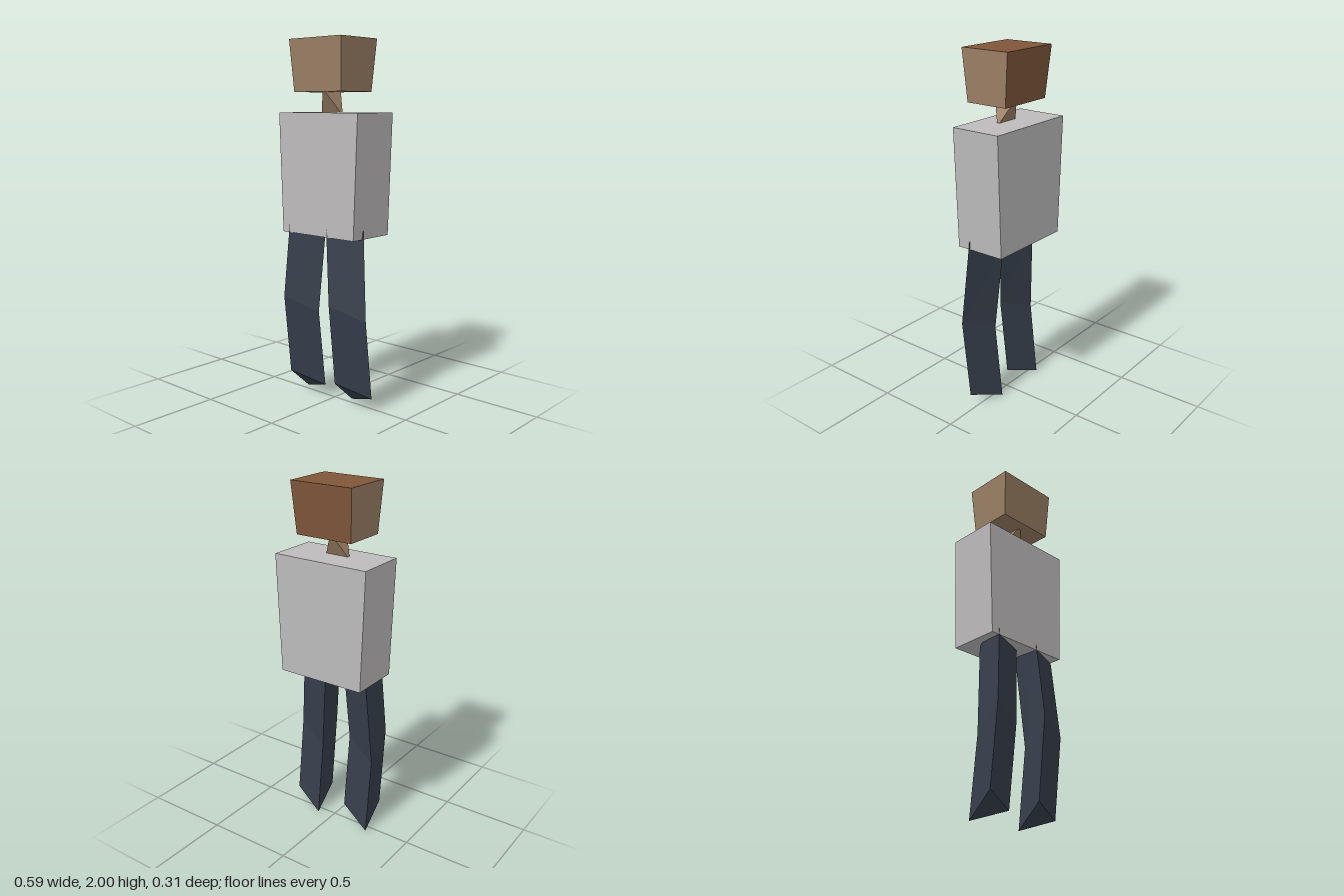
import * as THREE from 'three';

const mat = (name, color) => {
  const m = new THREE.MeshStandardMaterial({ color });
  m.name = name;
  return m;
};

// Box whose bottom and top are different rectangles: [x0, x1, z0, z1]
function taperedBox(y0, y1, bottom, top) {
  const geo = new THREE.BoxGeometry(1, 1, 1);
  const p = geo.attributes.position;
  for (let i = 0; i < p.count; i++) {
    const up = p.getY(i) > 0;
    const [x0, x1, z0, z1] = up ? top : bottom;
    p.setXYZ(i, p.getX(i) > 0 ? x1 : x0, up ? y1 : y0, p.getZ(i) > 0 ? z1 : z0);
  }
  geo.computeVertexNormals();
  return geo;
}

// Flat-faced loft through three-cornered rings listed from bottom to top
function triangularLoft(rings) {
  const v = [];
  const tri = (a, b, c) => v.push(...a, ...b, ...c);
  for (let r = 0; r < rings.length - 1; r++) {
    const lo = rings[r], hi = rings[r + 1];
    for (let i = 0; i < 3; i++) {
      const j = (i + 1) % 3;
      tri(lo[i], lo[j], hi[j]);
      tri(lo[i], hi[j], hi[i]);
    }
  }
  const first = rings[0], last = rings[rings.length - 1];
  tri(first[2], first[1], first[0]);
  tri(last[0], last[1], last[2]);
  const geo = new THREE.BufferGeometry();
  geo.setAttribute('position', new THREE.Float32BufferAttribute(v, 3));
  geo.computeVertexNormals();
  return geo;
}

export function createModel() {
  const model = new THREE.Group();
  model.name = 'figure';
  const skin = mat('skin', 0x9c8065);
  const hair = mat('hair', 0x80563a);
  const shirt = mat('shirt', 0xbdbbbb);
  const trousers = mat('trousers', 0x363e4b);

  const add = (name, geo, material) => {
    const mesh = new THREE.Mesh(geo, material);
    mesh.name = name;
    model.add(mesh);
  };

  // Head: hair on the top and back faces, skin elsewhere
  add('head',
    taperedBox(1.72, 2, [-0.18, 0.157, -0.117, 0.13], [-0.197, 0.173, -0.142, 0.15]),
    [skin, skin, hair, skin, skin, hair]);

  // Neck: wide sideways at the shoulders, wide front to back under the head
  add('neck',
    taperedBox(1.61, 1.72, [-0.08, 0.056, 0.002, 0.018], [-0.022, -0.002, -0.05, 0.076]),
    skin);

  // Torso
  add('torso',
    taperedBox(0.947, 1.61, [-0.27, 0.245, -0.158, 0.133], [-0.295, 0.271, -0.158, 0.133]),
    shirt);

  // Legs: bent wedges, flat on their -x side, with the hips shifted inwards
  for (const [name, x, shift] of [['rightLeg', -0.247, 0.03], ['leftLeg', 0.092, -0.042]]) {
    const ring = (dx, front, edge, back) => [
      [x + dx, ...front], [x + dx + 0.2, ...edge], [x + dx, ...back],
    ];
    add(name, triangularLoft([
      ring(0, [0.13, 0.105], [0.07, 0.03], [0, -0.042]),
      ring(0, [0.58, 0.155], [0.51, 0.083], [0.43, 0.008]),
      ring(shift, [1.05, 0.13], [0.995, 0.055], [0.93, -0.02]),
    ]), trousers);
  }

  return model;
}
